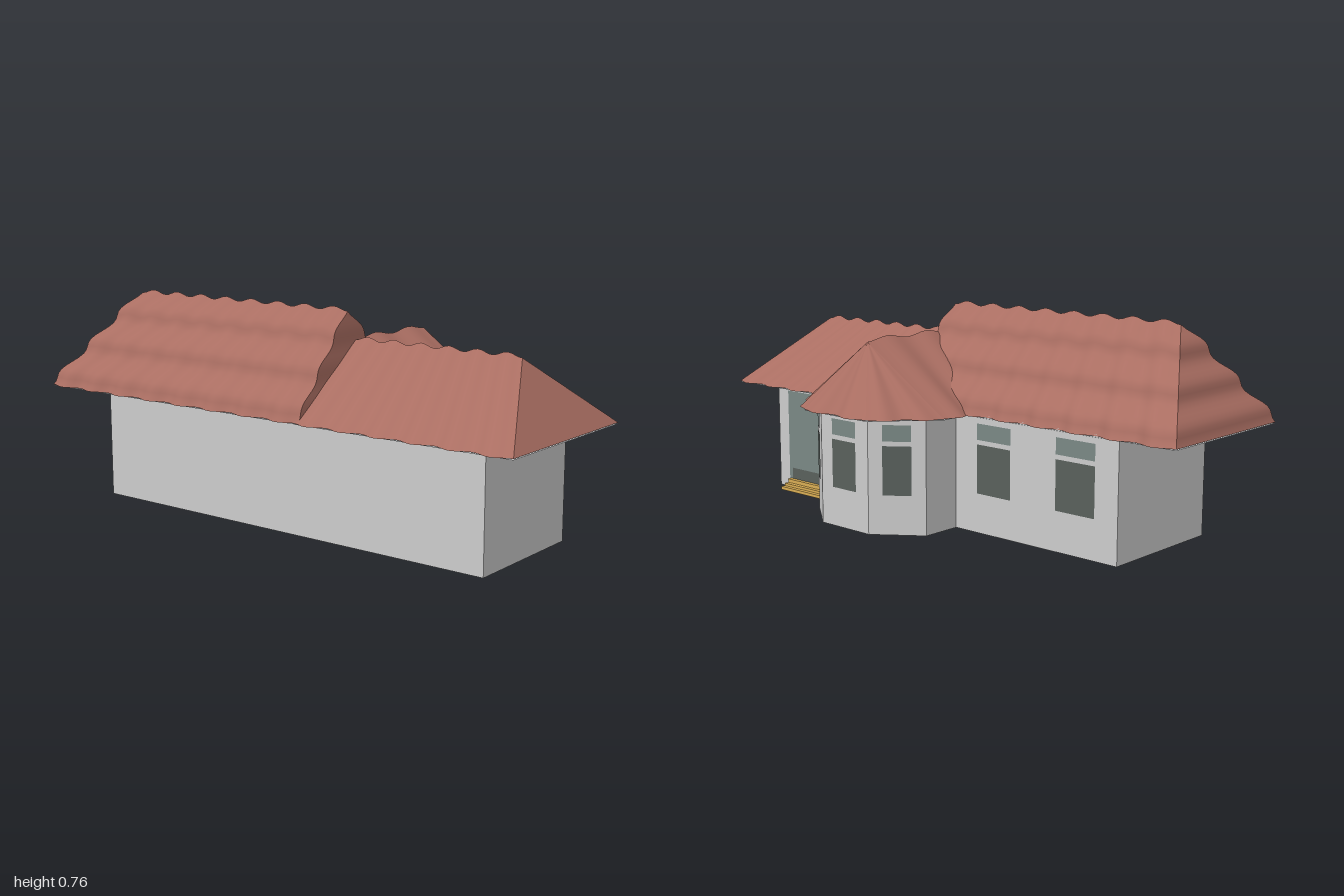
import * as THREE from 'three';

const mat = (name, color, side = THREE.FrontSide) => {
  const m = new THREE.MeshStandardMaterial({ color, side });
  m.name = name;
  return m;
};

export function createModel() {
  const house = new THREE.Group();
  house.name = 'house';
  const wallGrey = mat('wallGrey', 0xcccccc, THREE.DoubleSide);
  const soffitGrey = mat('soffitGrey', 0xb8babc, THREE.DoubleSide);
  const tileRed = mat('tileRed', 0xaa6e62, THREE.DoubleSide);
  const glass = mat('glass', 0x7a8885);
  const darkGlass = mat('darkGlass', 0x59605c);
  const timber = mat('timber', 0xd9ae55);

  const add = (name, geometry, material) => {
    const mesh = new THREE.Mesh(geometry, material);
    mesh.name = name;
    house.add(mesh);
    return mesh;
  };

  // Upright panel on the line a -> b (x, z), between fractions t0 and t1
  const panel = (name, [a, b], t0, t1, y0, y1, off, material) => {
    const dx = b[0] - a[0], dz = b[1] - a[1], len = Math.hypot(dx, dz);
    const t = (t0 + t1) / 2;
    const mesh = add(name, new THREE.PlaneGeometry(len * (t1 - t0), y1 - y0), material);
    mesh.position.set(a[0] + dx * t - dz / len * off, (y0 + y1) / 2, a[1] + dz * t + dx / len * off);
    mesh.rotation.y = Math.atan2(-dz, dx);
  };

  // Flat horizontal polygon facing down
  const slab = (name, points, y, material) => {
    const g = new THREE.ShapeGeometry(new THREE.Shape(points.map(([x, z]) => new THREE.Vector2(x, z))));
    g.rotateX(Math.PI / 2);
    add(name, g, material).position.y = y;
  };

  // Walls with a bay at the back, and a floor raised inside them
  const outline = [
    [-0.79, 0.355], [0.85, 0.355], [0.85, -0.14], [0.45, -0.14], [0.45, -0.29],
    [0.295, -0.41], [0.06, -0.41], [-0.1, -0.29], [-0.1, -0.14], [-0.79, -0.14],
  ];
  const sides = outline.map((p, i) => [p, outline[(i + 1) % outline.length]]);
  sides.forEach((s) => panel('wall', s, 0, 1, 0, 0.415, 0, wallGrey));
  slab('floor', outline, 0.025, wallGrey);

  // Windows: small pane over a tall dark pane
  const windows = [[4, 0.25, 0.75], [5, 0.25, 0.75], [6, 0.25, 0.75], [8, 0.145, 0.36], [8, 0.64, 0.87]];
  for (const [i, t0, t1] of windows) {
    panel('upperPane', sides[i], t0, t1, 0.328, 0.385, 0.003, glass);
    panel('lowerPane', sides[i], t0, t1, 0.14, 0.312, 0.003, darkGlass);
  }

  // Wide terrace glazing and its steps
  panel('terraceGlass', sides[2], 0.15, 0.99, 0.035, 0.385, 0.003, glass);
  panel('terraceGlassBase', sides[2], 0.2, 0.95, 0.037, 0.08, 0.005, darkGlass);
  [[0.036, 0.02], [0.022, 0.038], [0.012, 0.056]].forEach(([h, d]) => {
    add('step', new THREE.BoxGeometry(0.335, h, d), timber).position.set(0.615, h / 2, -0.14 - d / 2);
  });

  // Tiled roof: each eave edge rises to its ridge points, with waves along it and rows up it
  const roof = (name, eave, ridge, top, { rows = 0, rowDepth = 0, hipWave = 0, period = 0.15 }) => {
    const base = 0.41, pos = [], index = [];
    eave.forEach((a, i) => {
      const j = (i + 1) % eave.length, b = eave[j], c = ridge[i], d = ridge[j];
      const dx = b[0] - a[0], dz = b[1] - a[1], len = Math.hypot(dx, dz);
      const hip = Math.hypot(d[0] - c[0], d[1] - c[1]) < 0.01;
      const n = Math.max(1, Math.round(len / period));
      const nu = n * 8, nv = rows ? rows * 8 : 8, start = pos.length / 3;
      for (let v = 0; v <= nv; v++) {
        for (let u = 0; u <= nu; u++) {
          const s = u / nu, t = v / nv;
          const w = t - rowDepth * Math.sin(Math.PI * rows * t) ** 2;
          const wave = Math.sin(Math.PI * n * s) ** 2;
          const out = (hip ? hipWave : 0.024) * wave * (1 - t);
          const mix = (k) => (a[k] + (b[k] - a[k]) * s) * (1 - w) + (c[k] + (d[k] - c[k]) * s) * w;
          pos.push(
            mix(0) - dz / len * out,
            base + (top - base) * t + (hip ? 0 : 0.014 * wave * t),
            mix(1) + dx / len * out,
          );
          if (u < nu && v < nv) {
            const p = start + v * (nu + 1) + u, q = p + nu + 1;
            index.push(p, p + 1, q + 1, p, q + 1, q);
          }
        }
      }
    });
    const g = new THREE.BufferGeometry();
    g.setAttribute('position', new THREE.Float32BufferAttribute(pos, 3));
    g.setIndex(index);
    g.computeVertexNormals();
    add(name, g, tileRed);
    slab(name + 'Soffit', eave, 0.406, soffitGrey);
  };

  roof('tallRoof',
    [[-1, 0.447], [0.2, 0.447], [0.2, -0.142], [-1, -0.142]],
    [[-0.81, 0.155], [0.175, 0.155], [0.175, 0.155], [-0.81, 0.155]],
    0.745, { rows: 3, rowDepth: 0.08 });
  roof('lowRoof',
    [[0.18, 0.45], [1, 0.45], [1, -0.21], [0.18, -0.21]],
    [[0.18, 0.12], [0.83, 0.12], [0.83, 0.12], [0.18, 0.12]],
    0.645, { period: 0.13 });
  roof('bayRoof',
    [[0.5, 0], [0.5, -0.26], [0.33, -0.455], [0.02, -0.455], [-0.155, -0.26], [-0.155, 0]],
    [[0.18, 0.1], [0.18, -0.29], [0.18, -0.29], [0.18, -0.29], [0.18, -0.29], [0.18, 0.1]],
    0.645, { hipWave: 0.024, period: 0.17 });

  return house;
}
